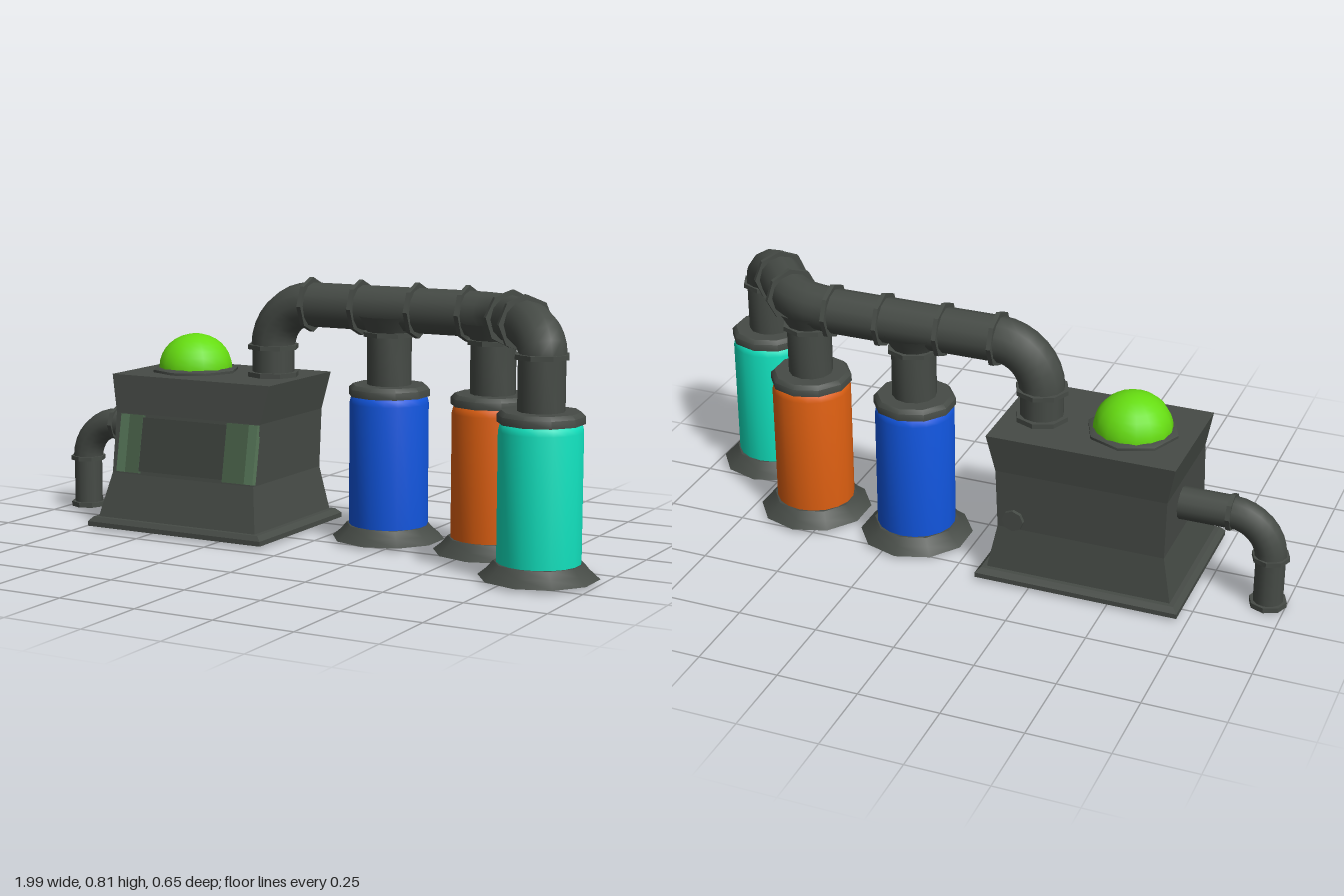
import * as THREE from 'three';
import { toCreasedNormals } from 'three/addons/utils/BufferGeometryUtils.js';

const paint = (name, color) => {
  const m = new THREE.MeshStandardMaterial({ color });
  m.name = name;
  return m;
};
const V = (x, y, z) => new THREE.Vector3(x, y, z);
const UP = V(0, 1, 0);

export function createModel() {
  const metal = paint('dark metal', 0x464b46);
  const screenGrey = paint('screen grey', 0x3f443f);
  const panelGreen = paint('panel green', 0x58785a);
  const panelShade = paint('panel dark green', 0x4a634b);
  const lime = paint('lime', 0x66dd11);
  const blue = paint('blue', 0x1155dd);
  const orange = paint('orange', 0xdd5f11);
  const teal = paint('teal', 0x11e0bd);

  const model = new THREE.Group();
  const add = (name, geo, mat, parent = model) => {
    const mesh = new THREE.Mesh(geo, mat);
    mesh.name = name;
    parent.add(mesh);
    return mesh;
  };
  // Turned part from [radius, y] pairs, bottom to top
  const turned = (name, pts, sides, mat, parent, x = 0, y = 0, z = 0) => {
    const geo = new THREE.LatheGeometry(pts.map(p => new THREE.Vector2(...p)), sides);
    const mesh = add(name, toCreasedNormals(geo, 0.8), mat, parent);
    mesh.position.set(x, y, z);
    return mesh;
  };
  // Flat collar around a pipe
  const collar = (name, pos, dir, r, h = 0.014) => {
    const geo = toCreasedNormals(new THREE.CylinderGeometry(r, r, h, 8), 0.3);
    const mesh = add(name, geo, metal);
    mesh.position.copy(pos);
    mesh.quaternion.setFromUnitVectors(UP, dir.clone().normalize());
  };
  const straight = (name, a, b, r) =>
    add(name, new THREE.TubeGeometry(new THREE.LineCurve3(a, b), 1, r, 12), metal);
  // Rounded bend from a to b around a corner point
  const bend = (name, a, corner, b, r) => {
    const curve = new THREE.CubicBezierCurve3(
      a, a.clone().lerp(corner, 0.55), b.clone().lerp(corner, 0.55), b);
    add(name, new THREE.TubeGeometry(curve, 8, r, 12), metal);
  };

  // Machine housing: pinched box from rectangular sections [y, half width, front z, back z]
  const sections = [
    [0.01, 0.32, 0.2, -0.322], [0.025, 0.32, 0.2, -0.322], [0.04, 0.305, 0.19, -0.308],
    [0.041, 0.29, 0.18, -0.295], [0.18, 0.262, 0.14, -0.278],
    [0.37, 0.267, 0.105, -0.284], [0.49, 0.292, 0.09, -0.3],
  ];
  const pos = [], idx = [];
  sections.forEach(([y, h, f, b], i) => {
    pos.push(h, y, f, h, y, b, -h, y, b, -h, y, f);
    if (i === 0) return;
    for (let k = 0; k < 4; k++) {
      const a = (i - 1) * 4 + k, c = (i - 1) * 4 + (k + 1) % 4;
      idx.push(a, c, c + 4, a, c + 4, a + 4);
    }
  });
  const t = (sections.length - 1) * 4;
  idx.push(0, 2, 1, 0, 3, 2, t, t + 1, t + 2, t, t + 2, t + 3);
  let housing = new THREE.BufferGeometry();
  housing.setAttribute('position', new THREE.Float32BufferAttribute(pos, 3));
  housing.setIndex(idx);
  housing = housing.toNonIndexed();
  housing.computeVertexNormals();
  add('housing', housing, metal).position.x = -0.4;

  // Sloped control panel: [name, left x, right x, height, material, thickness]
  const panel = new THREE.Group();
  panel.name = 'controlPanel';
  panel.position.set(0, 0.277, 0.126);
  panel.rotation.x = -0.182;
  model.add(panel);
  [
    ['outerStripRight', -0.64, -0.607, 0.185, panelGreen, 0.02],
    ['innerStripRight', -0.607, -0.557, 0.185, panelShade, 0.02],
    ['screen', -0.557, -0.245, 0.172, screenGrey, 0.016],
    ['innerStripLeft', -0.245, -0.165, 0.185, panelShade, 0.02],
    ['outerStripLeft', -0.165, -0.134, 0.185, panelGreen, 0.02],
  ].forEach(([name, x0, x1, h, mat, d]) => {
    add(name, new THREE.BoxGeometry(x1 - x0, h, d), mat, panel).position.x = (x0 + x1) / 2;
  });

  // Round knob on the back
  collar('backKnob', V(-0.19, 0.212, -0.28), V(0, 0, 1), 0.034, 0.024);

  // Glowing dome with its seat
  turned('domeSeat', [[0, 0], [0.14, 0], [0.14, 0.01], [0.125, 0.017], [0, 0.017]], 8, metal, model, -0.5, 0.488, -0.105);
  const dome = add('dome', new THREE.SphereGeometry(0.12, 16, 8, 0, Math.PI * 2, 0, Math.PI / 2), lime);
  dome.scale.y = 0.93;
  dome.position.set(-0.5, 0.5, -0.105);

  // Drain pipe on the right side
  const dz = -0.125;
  straight('drainInlet', V(-0.64, 0.29, dz), V(-0.82, 0.29, dz), 0.05);
  bend('drainElbow', V(-0.82, 0.29, dz), V(-0.945, 0.29, dz), V(-0.945, 0.165, dz), 0.049);
  straight('drainOutlet', V(-0.945, 0.165, dz), V(-0.945, 0.005, dz), 0.046);
  collar('drainCollar', V(-0.82, 0.29, dz), V(1, 0, 0), 0.058);
  collar('drainCollar', V(-0.945, 0.165, dz), UP, 0.058);
  collar('drainFoot', V(-0.945, 0.008, dz), UP, 0.058, 0.016);

  // Main pipe: riser, elbow, straight run, curved run and final drop
  const top = 0.725, R = 0.07;
  straight('riser', V(-0.22, 0.48, dz), V(-0.22, 0.585, dz), 0.067);
  bend('riserElbow', V(-0.22, 0.585, dz), V(-0.22, top, dz), V(-0.08, top, dz), R);
  straight('mainRun', V(-0.08, top, dz), V(0.46, top, dz), R);
  const curved = new THREE.CatmullRomCurve3([
    V(0.46, top, dz), V(0.56, top, -0.105), V(0.632, top, -0.06), V(0.726, top, 0.049),
  ]);
  add('curvedRun', new THREE.TubeGeometry(curved, 10, R, 12), metal);
  bend('endElbow', V(0.726, top, 0.049), V(0.825, top, 0.148), V(0.825, 0.648, 0.148), R);

  collar('riserFlange', V(-0.22, 0.497, dz), UP, 0.083, 0.016);
  collar('riserCollar', V(-0.22, 0.585, dz), UP, 0.083);
  for (const x of [-0.08, 0.095, 0.29, 0.46]) collar('pipeCollar', V(x, top, dz), V(1, 0, 0), 0.086);
  collar('pipeCollar', V(0.632, top, -0.06), V(0.75, 0, 0.65), 0.086);
  collar('pipeCollar', V(0.726, top, 0.049), V(1, 0, 1), 0.086);

  // Canisters with skirt, cap and neck
  [
    ['blueCanister', 0.195, -0.125, blue, true],
    ['orangeCanister', 0.56, -0.095, orange, true],
    ['tealCanister', 0.822, 0.148, teal, false],
  ].forEach(([name, x, z, mat, tee]) => {
    const can = new THREE.Group();
    can.name = name;
    can.position.set(x, 0, z);
    model.add(can);
    turned('skirt', [[0, 0.01], [0.177, 0.01], [0.15, 0.032], [0.132, 0.054], [0, 0.054]], 10, metal, can);
    turned('tank', [[0.123, 0.05], [0.123, 0.435], [0.119, 0.452], [0.11, 0.462]], 18, mat, can);
    turned('cap', [[0, 0.458], [0.127, 0.458], [0.127, 0.48], [0.115, 0.492], [0, 0.492]], 10, metal, can);
    turned('neck', [[0.069, 0.485], [0.069, 0.655]], 12, metal, can);
    if (tee) turned('teeFlare', [[0.069, 0.655], [0.078, 0.672], [0.1, 0.705]], 12, metal, can);
    collar('neckCollar', V(x, 0.649, z), UP, 0.083);
  });

  return model;
}
